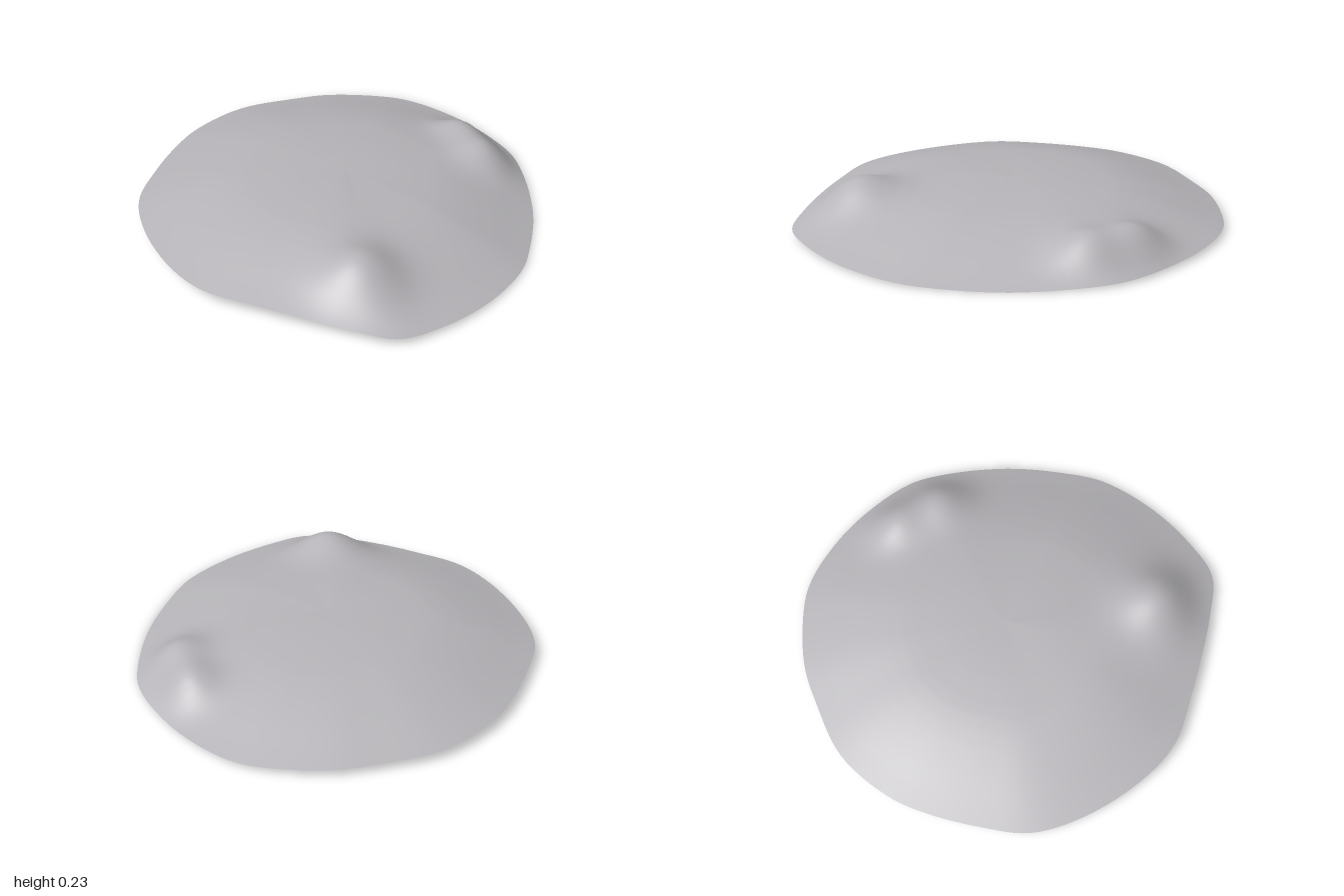
import * as THREE from 'three';

// Rim of the draped sheet: x, height, z, going round from +x towards +z
const RIM = [
  [0.99, 0.008, 0], [0.98, 0.013, 0.3], [0.9, 0.022, 0.57], [0.8, 0.034, 0.74], [0.6, 0.053, 0.83],
  [0.37, 0.064, 0.9], [0.17, 0.065, 0.95], [-0.07, 0.062, 0.995], [-0.3, 0.058, 0.95], [-0.6, 0.051, 0.8],
  [-0.8, 0.049, 0.62], [-0.9, 0.05, 0.4], [-0.975, 0.05, 0.15], [-1, 0.05, -0.05], [-0.95, 0.046, -0.35],
  [-0.8, 0.04, -0.59], [-0.65, 0.035, -0.77], [-0.4, 0.027, -0.94], [-0.28, 0.024, -0.985], [-0.1, 0.021, -1],
  [0.15, 0.018, -0.97], [0.45, 0.011, -0.86], [0.6, 0.006, -0.73], [0.8, 0, -0.47], [0.93, 0.002, -0.2],
];

// Rise above the rim, from the centre (0) to the edge (1)
const PROFILE = [[0, 0.165], [0.15, 0.164], [0.3, 0.157], [0.5, 0.138], [0.64, 0.108], [0.8, 0.062], [0.9, 0.029], [1, 0]];

// Raised lumps: x, z, height, spread
const LUMPS = [
  [0.5, 0.6, 0.107, 0.13],
  [0.43, -0.66, 0.095, 0.11],
  [0.21, -0.79, 0.095, 0.1],
];

function rise(s) {
  let i = 0;
  while (i < PROFILE.length - 2 && s > PROFILE[i + 1][0]) i++;
  const [s0, h0] = PROFILE[i], [s1, h1] = PROFILE[i + 1];
  return THREE.MathUtils.lerp(h0, h1, (s - s0) / (s1 - s0));
}

// Average the profile a little so the slopes blend
const smoothRise = (s) => {
  const d = Math.min(0.06, s, 1 - s);
  return (rise(s - d) + 2 * rise(s) + rise(s + d)) / 4;
};

function height(x, z, s, rimY) {
  let y = THREE.MathUtils.lerp(0.035, rimY, s) + smoothRise(s);
  for (const [lx, lz, h, w] of LUMPS) {
    const d2 = (x - lx) ** 2 + (z - lz) ** 2;
    y += h * Math.exp(-d2 / (2 * w * w)) * (1 - s ** 10);
  }
  return y;
}

function sheetGeometry(rings = 48, segments = 150) {
  const rim = new THREE.CatmullRomCurve3(RIM.map((p) => new THREE.Vector3(...p)), true);
  const outline = Array.from({ length: segments }, (_, j) => rim.getPoint(j / segments));
  const positions = [0, height(0, 0, 0, 0), 0];
  const index = [];
  for (let i = 1; i <= rings; i++) {
    const s = i / rings;
    for (const p of outline) {
      const x = p.x * s, z = p.z * s;
      positions.push(x, Math.max(0, height(x, z, s, p.y)), z);
    }
  }
  const at = (i, j) => 1 + (i - 1) * segments + (j % segments);
  for (let j = 0; j < segments; j++) {
    index.push(0, at(1, j + 1), at(1, j));
    for (let i = 1; i < rings; i++) {
      const a = at(i, j), b = at(i + 1, j), c = at(i + 1, j + 1), d = at(i, j + 1);
      index.push(a, c, b, a, d, c);
    }
  }
  const geometry = new THREE.BufferGeometry();
  geometry.setAttribute('position', new THREE.Float32BufferAttribute(positions, 3));
  geometry.setIndex(index);
  geometry.computeVertexNormals();
  return geometry;
}

export function createModel() {
  const group = new THREE.Group();
  group.name = 'mound';
  const stone = new THREE.MeshStandardMaterial({ color: 0xb6b4b8, side: THREE.DoubleSide });
  stone.name = 'pale grey';
  // Open, domed shell
  const shell = new THREE.Mesh(sheetGeometry(), stone);
  shell.name = 'moundSurface';
  group.add(shell);
  return group;
}
